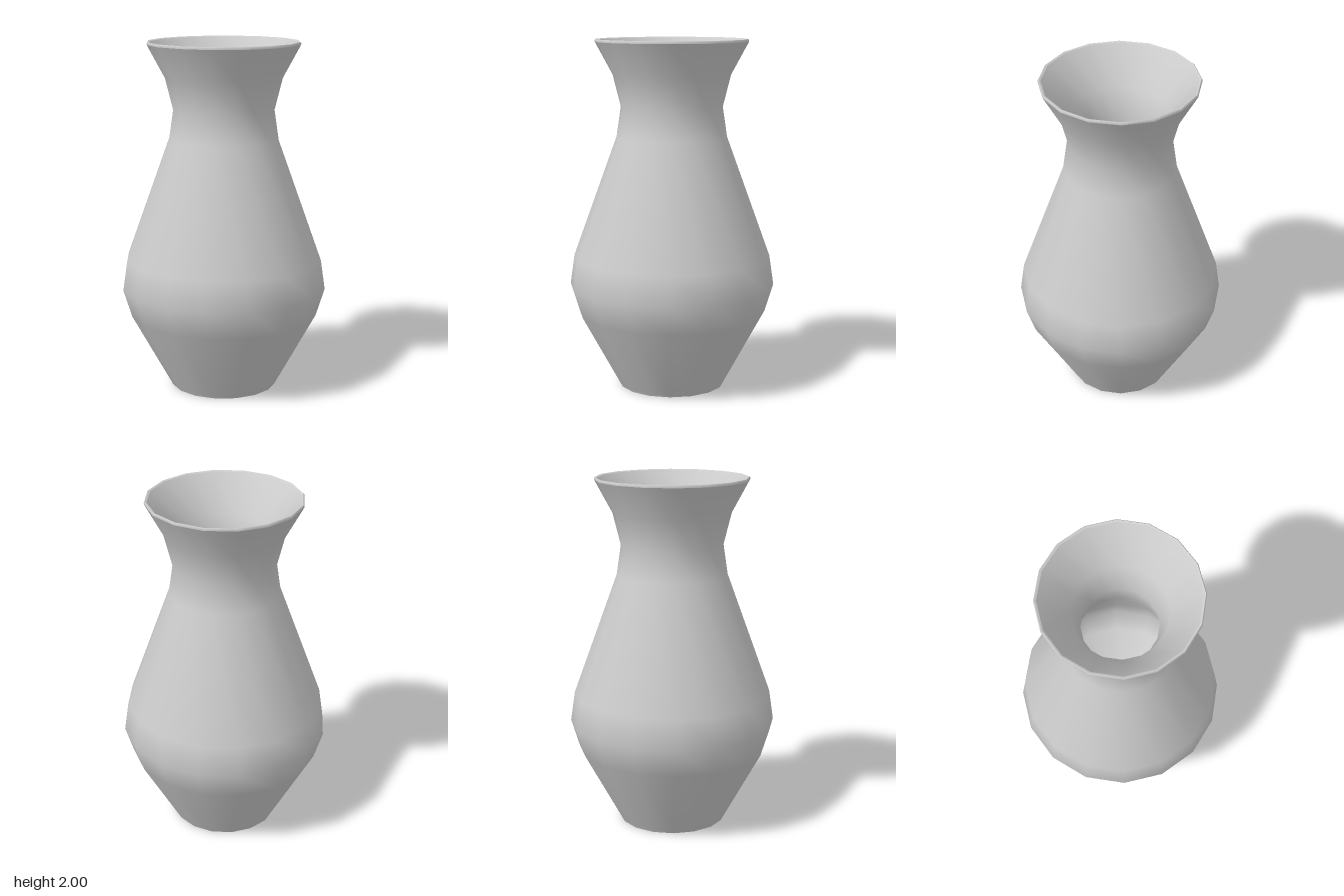
import * as THREE from 'three';

const SIDES = 16;

export function createModel() {
  const vase = new THREE.Group();
  vase.name = 'vase';
  const material = new THREE.MeshStandardMaterial({ color: 0xcccccc });

  // Each part is a lathe of [radius, height] points; separate parts keep the edges between them sharp
  const addPart = (name, profile) => {
    const points = profile.map(([r, y]) => new THREE.Vector2(r, y));
    const mesh = new THREE.Mesh(new THREE.LatheGeometry(points, SIDES), material);
    mesh.name = name;
    vase.add(mesh);
  };

  addPart('base', [[0, 0], [0.305, 0]]);
  addPart('foot', [[0.305, 0], [0.31, 0.01]]);

  // Narrow foot, full belly, pinched neck and flared mouth
  addPart('outerWall', [
    [0.31, 0.01], [0.54, 0.43], [0.59, 0.59], [0.565, 0.76],
    [0.315, 1.45], [0.29, 1.62], [0.335, 1.8], [0.435, 1.985],
  ]);

  addPart('rimEdge', [[0.435, 1.985], [0.435, 1.995], [0.43, 2]]);
  addPart('rim', [[0.43, 2], [0.42, 1.995]]);

  // The hollow follows the outside, with a thicker wall at the neck and foot
  addPart('innerWall', [
    [0.42, 1.995], [0.26, 1.8], [0.21, 1.62], [0.235, 1.45],
    [0.485, 0.76], [0.51, 0.59], [0.46, 0.43], [0.1, 0.08],
  ]);
  addPart('innerFloor', [[0.1, 0.08], [0, 0.08]]);

  return vase;
}
